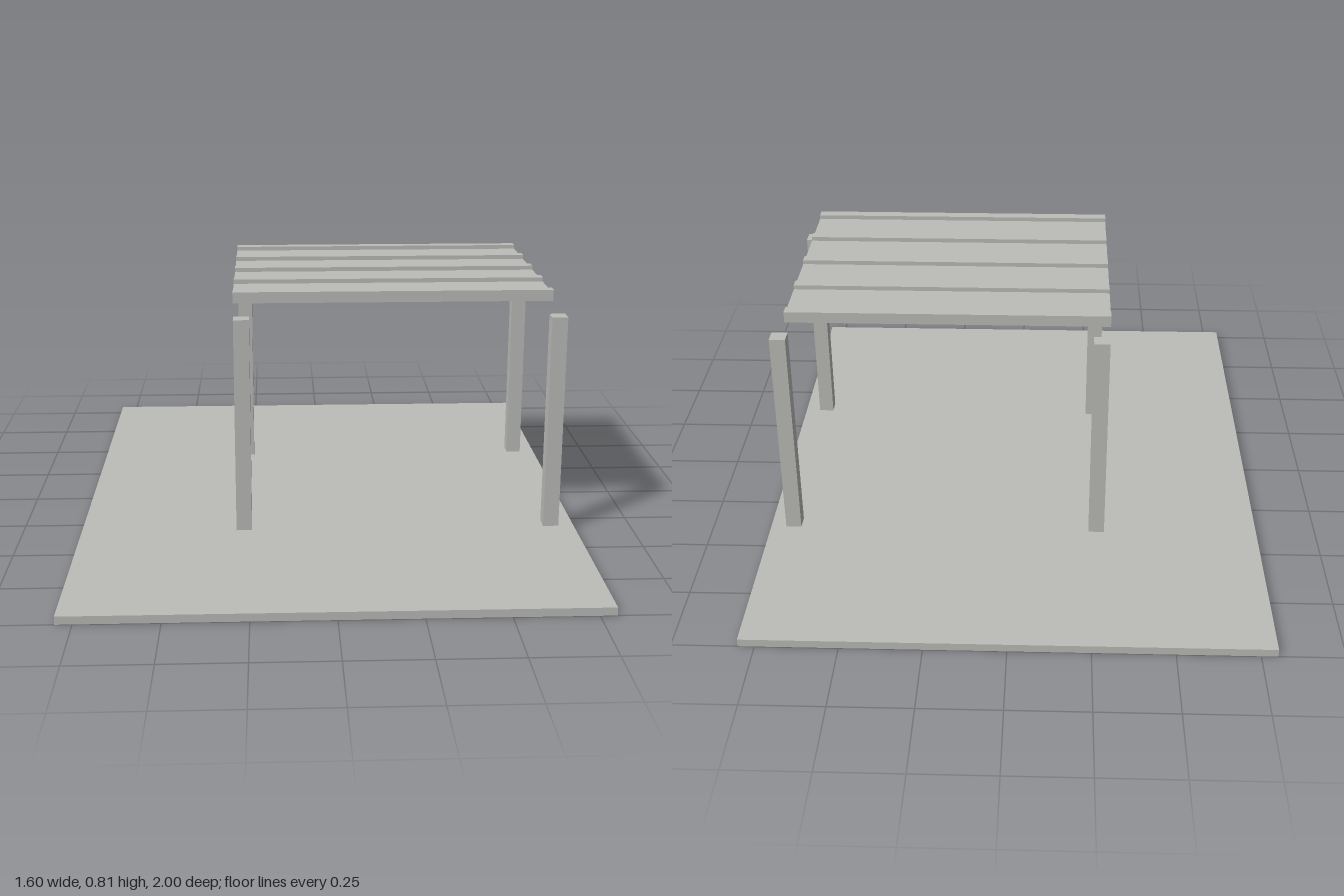
import * as THREE from 'three';

export function createModel() {
  const model = new THREE.Group();
  const concrete = new THREE.MeshStandardMaterial({ color: 0xbcbcb9 });
  concrete.name = 'pale grey';

  // Box given by its size and centre
  function addBox(name, size, centre) {
    const mesh = new THREE.Mesh(new THREE.BoxGeometry(...size), concrete);
    mesh.name = name;
    mesh.position.set(...centre);
    model.add(mesh);
  }

  // Ground slab
  addBox('groundSlab', [1.6, 0.025, 2], [0, 0.0125, 0]);

  // Four corner posts
  for (const [side, x] of [['Right', -0.275], ['Left', 0.725]]) {
    for (const [end, z] of [['front', 0.35], ['back', -0.4]]) {
      addBox(`${end}${side}Post`, [0.05, 0.7, 0.05], [x, 0.375, z]);
    }
  }

  // Five roof beams, evenly spaced front to back
  const frontZ = 0.3575, spacing = 0.1875, beam = 0.035, roofX = 0.2;
  for (let i = 0; i < 5; i++) {
    addBox(`roofBeam${i + 1}`, [1, beam, beam], [roofX, 0.796, frontZ - i * spacing]);
  }

  // Thin roof sheet running through the beams
  const depth = 4 * spacing + beam;
  addBox('roofSheet', [1, 0.002, depth], [roofX, 0.799, frontZ - 2 * spacing]);

  return model;
}
